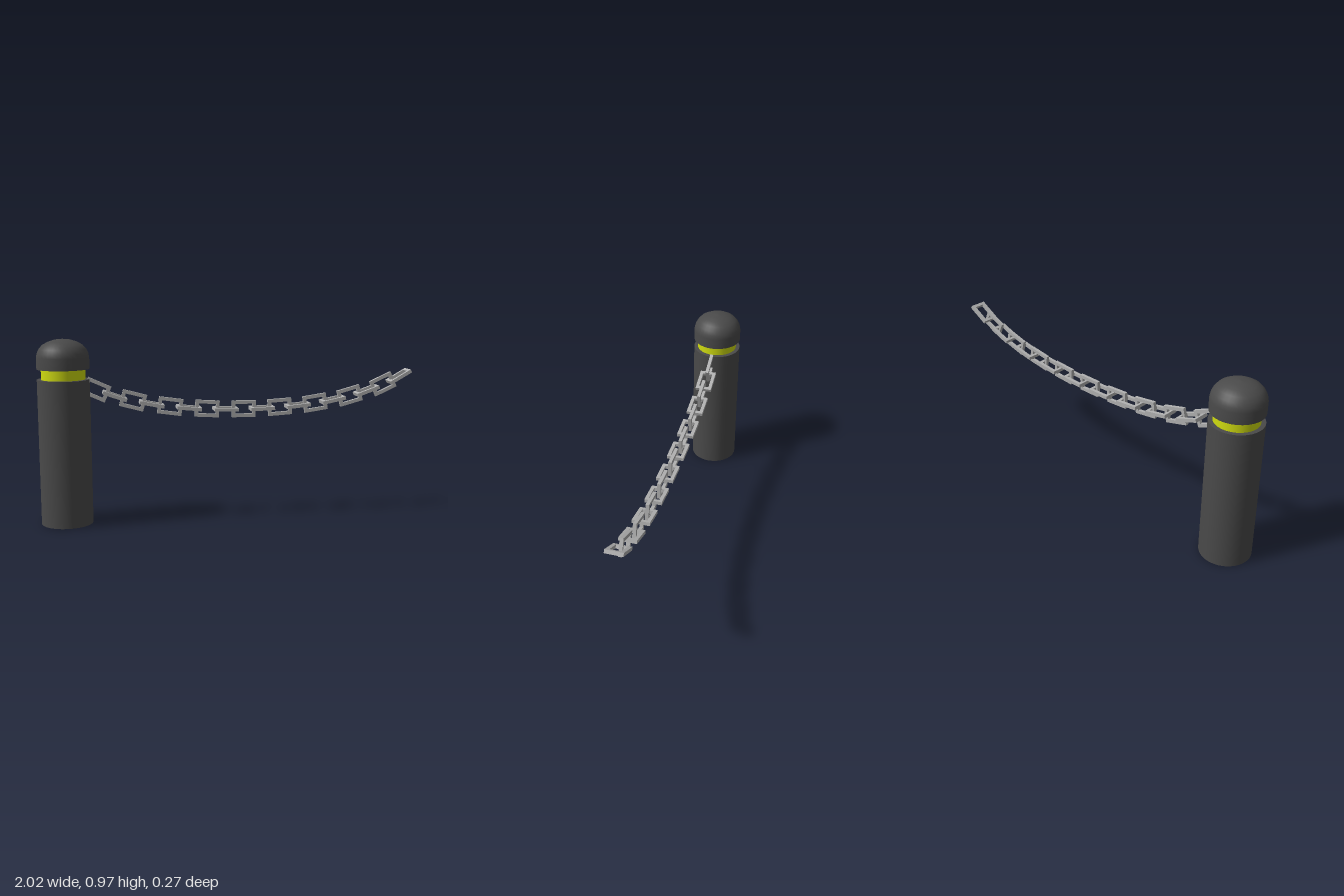
import * as THREE from 'three';

const POST_X = -0.865;

// Turned part; doubled points in the profile keep an edge sharp
function turned(name, profile, material) {
  const points = profile.map(([r, y]) => new THREE.Vector2(r, y));
  const mesh = new THREE.Mesh(new THREE.LatheGeometry(points, 32), material);
  mesh.name = name;
  mesh.position.x = POST_X;
  return mesh;
}

// Rectangular chain link lying in the xy plane, made of square bar
function linkGeometry(length, width, bar) {
  const rect = (path, w, h) => {
    path.moveTo(-w / 2, -h / 2);
    path.lineTo(w / 2, -h / 2);
    path.lineTo(w / 2, h / 2);
    path.lineTo(-w / 2, h / 2);
    path.closePath();
    return path;
  };
  const shape = rect(new THREE.Shape(), length, width);
  shape.holes.push(rect(new THREE.Path(), length - 2 * bar, width - 2 * bar));
  const geometry = new THREE.ExtrudeGeometry(shape, { depth: bar, bevelEnabled: false });
  return geometry.translate(0, 0, -bar / 2);
}

export function createModel() {
  const model = new THREE.Group();
  model.name = 'chainBollard';
  const dark = new THREE.MeshStandardMaterial({ color: 0x4a4a4a });
  const yellow = new THREE.MeshStandardMaterial({ color: 0xd0dc10 });
  const steel = new THREE.MeshStandardMaterial({ color: 0xb0b0b0 });

  // Post, coloured neck band and domed cap
  model.add(turned('post', [
    [0, 0], [0.135, 0], [0.135, 0], [0.135, 0.764], [0.135, 0.764], [0, 0.764],
  ], dark));
  model.add(turned('neckBand', [[0.113, 0.76], [0.113, 0.822]], yellow));
  model.add(turned('cap', [
    [0, 0.818], [0.135, 0.818], [0.135, 0.818], [0.135, 0.878], [0.131, 0.899],
    [0.121, 0.921], [0.103, 0.942], [0.075, 0.958], [0.04, 0.969], [0, 0.973],
  ], dark));

  // Hanging chain: links stepped along a sagging curve, every other one turned flat
  const chain = new THREE.Group();
  chain.name = 'chain';
  const sag = (d) => 0.587 + 0.128 * d * d + 0.108 * d ** 4;
  const slope = (d) => 0.256 * d + 0.432 * d ** 3;
  const geometry = linkGeometry(0.13, 0.09, 0.018);
  const pitch = 0.0995;
  const addLink = (i, d) => {
    const link = new THREE.Mesh(geometry, steel);
    link.name = 'chainLink';
    link.position.set(0.085 + d, sag(d), 0);
    link.rotation.order = 'ZXY';
    link.rotation.z = Math.atan(1.12 * slope(d));
    if (i % 2) link.rotation.x = Math.PI / 2;
    chain.add(link);
  };
  addLink(0, 0);
  for (const [side, count] of [[-1, 8], [1, 9]]) {
    let d = 0;
    for (let i = 1; i <= count; i++) {
      const middle = d + side * pitch / 2;
      d += side * pitch / Math.hypot(1, slope(middle));
      addLink(i, d);
    }
  }
  model.add(chain);
  return model;
}
